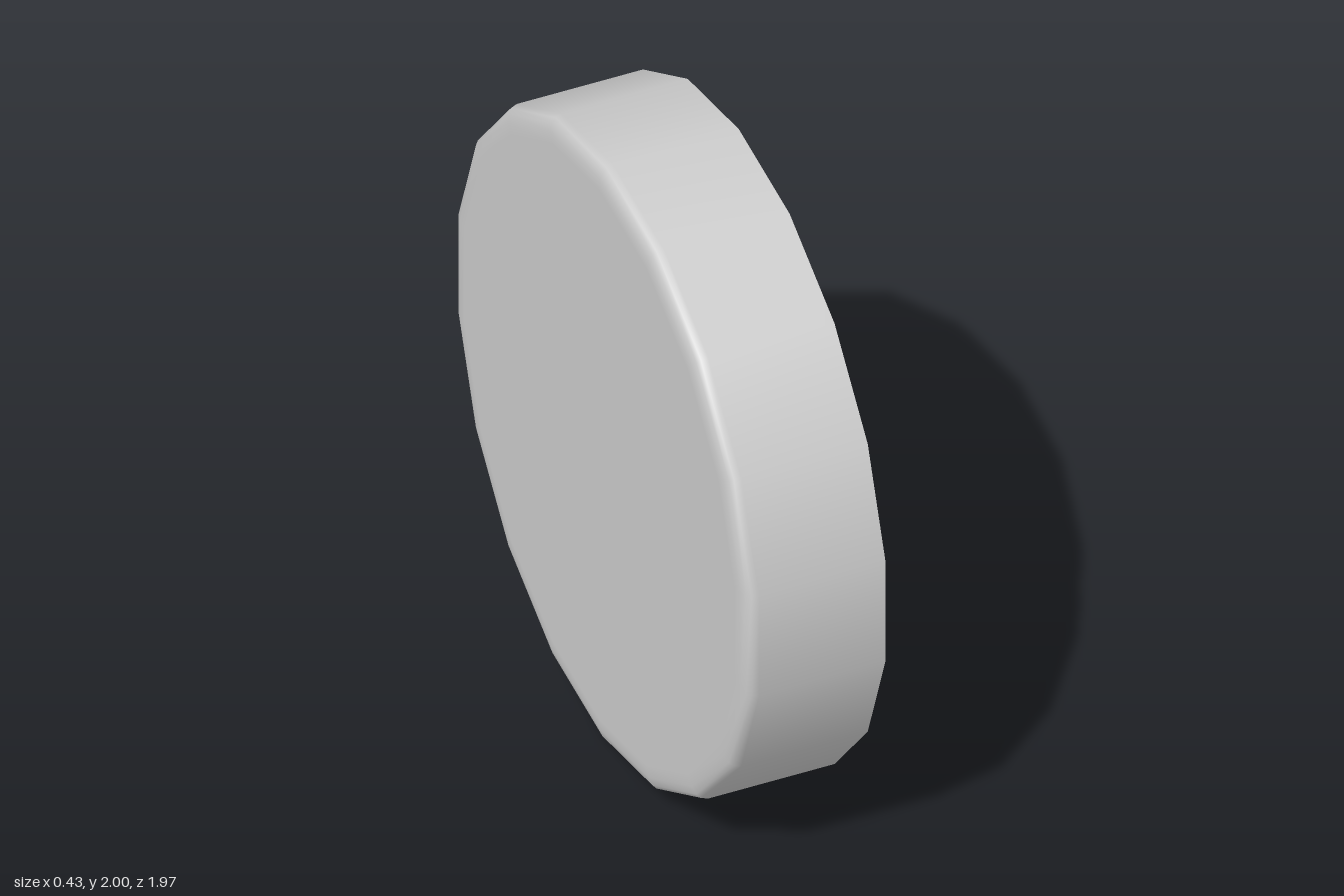
import * as THREE from 'three';

const SIDES = 18;
const BACK = -0.215, FRONT = 0.21, FLOOR = 0.04; // positions along x
const OUTER = 1, INNER = 0.63;

export function createModel() {
  const group = new THREE.Group();
  const material = new THREE.MeshStandardMaterial({ color: 0xcccccc });

  // Revolves [radius, x] points about the x axis, with a vertex at the top;
  // each band is its own mesh so the edges between bands stay sharp
  const band = (name, profile) => {
    const points = profile.map(([r, x]) => new THREE.Vector2(r, x));
    const geometry = new THREE.LatheGeometry(points, SIDES, Math.PI / 2);
    geometry.rotateZ(-Math.PI / 2);
    geometry.translate(0, 1, 0);
    const mesh = new THREE.Mesh(geometry, material);
    mesh.name = name;
    group.add(mesh);
  };

  // Flat back flowing through a small rounded edge into the rim
  band('backAndRim', [
    [0, BACK], [0.92, BACK], [0.955, BACK + 0.002], [0.98, BACK + 0.009],
    [0.993, BACK + 0.02], [OUTER, BACK + 0.04], [OUTER, FRONT],
  ]);

  // Flat ring around the recess
  band('faceRing', [[OUTER, FRONT], [INNER, FRONT]]);

  // Round recess
  band('recessWall', [[INNER, FRONT], [INNER, FLOOR]]);
  band('recessFloor', [[INNER, FLOOR], [0, FLOOR]]);

  return group;
}
